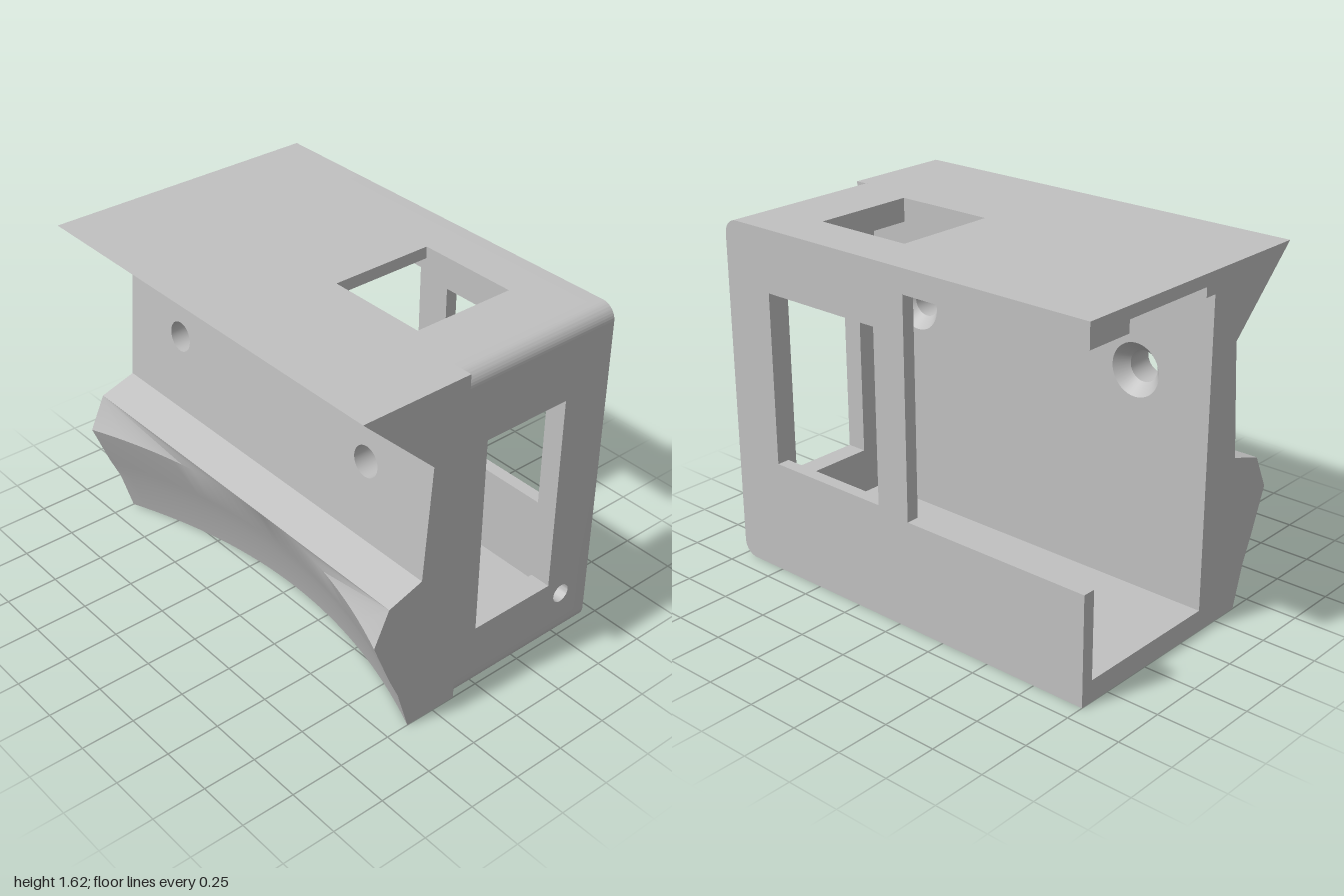
import * as THREE from 'three';
import { toCreasedNormals } from 'three/addons/utils/BufferGeometryUtils.js';

const H = 1.615, BACK = -0.66, JOIN = 0.13, FLOOR = 0.1, CEIL = 1.505, R = 0.07;
const SAG = 0.21; // depth of the hollow in the lower front

export function createModel() {
  const group = new THREE.Group();
  const grey = new THREE.MeshStandardMaterial({ color: 0xc0c0c0 });
  grey.name = 'light grey';
  const greyOpen = grey.clone();
  greyOpen.side = THREE.DoubleSide;

  const add = (name, geometry, material = grey) => {
    const mesh = new THREE.Mesh(toCreasedNormals(geometry, 0.5), material);
    mesh.name = name;
    group.add(mesh);
    return mesh;
  };
  const poly = (pts) => new THREE.Shape(pts.map((p) => new THREE.Vector2(p[0], p[1])));
  const rect = (x0, x1, y0, y1) => poly([[x0, y0], [x1, y0], [x1, y1], [x0, y1]]);
  const circle = (x, y, r) => new THREE.Path().absarc(x, y, r, 0, Math.PI * 2);
  const extrude = (shape, depth) =>
    new THREE.ExtrudeGeometry(shape, { depth, bevelEnabled: false, curveSegments: 20 });
  // extrusions along each axis; alongX uses (-z, y), alongY uses (x, -z)
  const alongZ = (shape, z0, z1) => extrude(shape, z1 - z0).translate(0, 0, z0);
  const alongX = (shape, x0, x1) => extrude(shape, x1 - x0).rotateY(Math.PI / 2).translate(x0, 0, 0);
  const alongY = (shape, y0, y1) => extrude(shape, y1 - y0).rotateX(-Math.PI / 2).translate(0, y0, 0);
  const box = (name, x0, x1, y0, y1, z0, z1) =>
    add(name, new THREE.BoxGeometry(x1 - x0, y1 - y0, z1 - z0)
      .translate((x0 + x1) / 2, (y0 + y1) / 2, (z0 + z1) / 2));

  // Back plate: rounded on the +x side, deep notch from the open -x side, small window
  const back = new THREE.Shape();
  back.moveTo(-1, 0);
  back.lineTo(1 - R, 0);
  back.absarc(1 - R, R, R, -Math.PI / 2, 0);
  back.lineTo(1, H - R);
  back.absarc(1 - R, H - R, R, 0, Math.PI / 2);
  [[-1, H], [-1, CEIL], [-0.06, CEIL], [-0.06, 0.505], [-1, 0.505]].forEach((p) => back.lineTo(p[0], p[1]));
  back.closePath();
  back.holes.push(rect(0.11, 0.74, 0.53, 1.33));
  add('backPlate', alongZ(back, BACK, -0.6));

  // Floor with one rounded edge
  const floor = new THREE.Shape();
  floor.moveTo(-1, 0);
  floor.lineTo(1 - R, 0);
  floor.absarc(1 - R, R, R, -Math.PI / 2, 0);
  floor.lineTo(1, FLOOR);
  floor.lineTo(-1, FLOOR);
  add('floor', alongZ(floor, -0.6, JOIN));

  // Side wall with tall window and pin hole
  const side = rect(-JOIN, 0.6, FLOOR, CEIL);
  side.holes.push(rect(-0.02, 0.415, 0.32, 1.27), circle(0.5, 0.235, 0.045));
  add('sideWall', alongX(side, 0.9, 1));

  // Rounded top edge
  const corner = new THREE.Shape();
  corner.moveTo(0.9, CEIL);
  corner.lineTo(1, CEIL);
  corner.lineTo(1, H - R);
  corner.absarc(1 - R, H - R, R, 0, Math.PI / 2);
  corner.lineTo(0.9, H);
  add('topEdge', alongZ(corner, -0.6, JOIN));

  // Roof with square opening, thicker around a recess below
  const roof = rect(-1, 0.9, -JOIN, 0.6);
  roof.holes.push(rect(0.155, 0.64, -0.07, 0.425));
  add('roof', alongY(roof, 1.56, H));
  box('roofBackLip', -1, 0.9, CEIL, 1.56, -0.6, -0.425);
  box('roofFrontRail', -1, 0.9, 1.515, 1.56, 0.07, JOIN);
  box('roofSidePad', 0.64, 0.9, CEIL, 1.56, -0.425, 0.07);

  // Overhanging brow
  add('brow', alongX(poly([[-JOIN, 1.27], [-0.3, 1.27], [-0.66, H], [-JOIN, H]]), -1, 1));

  // Front wall in two layers, with countersunk screw holes from inside
  const layer = (r) => {
    const s = rect(-1, 1, 0.74, 1.27);
    [-0.625, 0.625].forEach((x) => s.holes.push(circle(x, 1.1, r)));
    return s;
  };
  add('frontWallInner', alongZ(layer(0.12), JOIN, 0.19));
  const outer = alongZ(layer(0.07), 0.19, 0.34);
  const pos = outer.attributes.position;
  for (let i = 0; i < pos.count; i++) {
    if (pos.getZ(i) > 0.3) pos.setZ(i, 0.34 - (pos.getY(i) - 0.74) * 0.0755);
  }
  add('frontWallOuter', outer);
  for (const x of [-0.625, 0.625]) {
    add('countersink', new THREE.CylinderGeometry(0.07, 0.12, 0.06, 40, 1, true)
      .rotateX(Math.PI / 2).translate(x, 1.1, 0.16), greyOpen);
  }

  // Lower front: ledge, then a face hollowed by an arc
  const N = 32, verts = [];
  const tri = (...p) => p.forEach((v) => verts.push(...v));
  const quad = (a, b, c, d) => { tri(a, b, c); tri(a, c, d); };
  const profile = [[0.74, 0.34], [0.685, 0.51], [0.525, 0.585], [0.31, 0.5], [0.2, 0.45], [0, 0.39]];
  const arcRow = ([y, z]) => Array.from({ length: N + 1 }, (_, i) => {
    const x = -1 + (2 * i) / N;
    return [x, y, z - SAG * (1 - x * x)];
  });
  const end = (x, k) => [x, profile[k][0], profile[k][1]];
  quad(end(-1, 0), end(-1, 1), end(1, 1), end(1, 0));
  const rows = profile.slice(2).map(arcRow);
  const L = end(-1, 1), Rt = end(1, 1);
  tri(L, rows[0][N / 2], Rt);
  for (let i = 0; i < N; i++) {
    tri(i < N / 2 ? L : Rt, rows[0][i], rows[0][i + 1]);
    for (let k = 0; k < rows.length - 1; k++) {
      quad(rows[k][i], rows[k + 1][i], rows[k + 1][i + 1], rows[k][i + 1]);
    }
    const a = rows[3][i], b = rows[3][i + 1];
    quad(a, [a[0], 0, JOIN], [b[0], 0, JOIN], b);
  }
  quad([-1, 0, JOIN], [-1, 0.74, JOIN], [1, 0.74, JOIN], [1, 0, JOIN]);
  for (const x of [-1, 1]) {
    const c = [x, 0.4, JOIN];
    const rim = [[x, 0.74, JOIN], ...profile.map((_, k) => end(x, k)), [x, 0, JOIN]];
    for (let i = 0; i < rim.length - 1; i++) {
      if (x > 0) tri(c, rim[i + 1], rim[i]);
      else tri(c, rim[i], rim[i + 1]);
    }
  }
  const lower = new THREE.BufferGeometry();
  lower.setAttribute('position', new THREE.Float32BufferAttribute(verts, 3));
  add('lowerFront', lower, greyOpen);

  return group;
}
